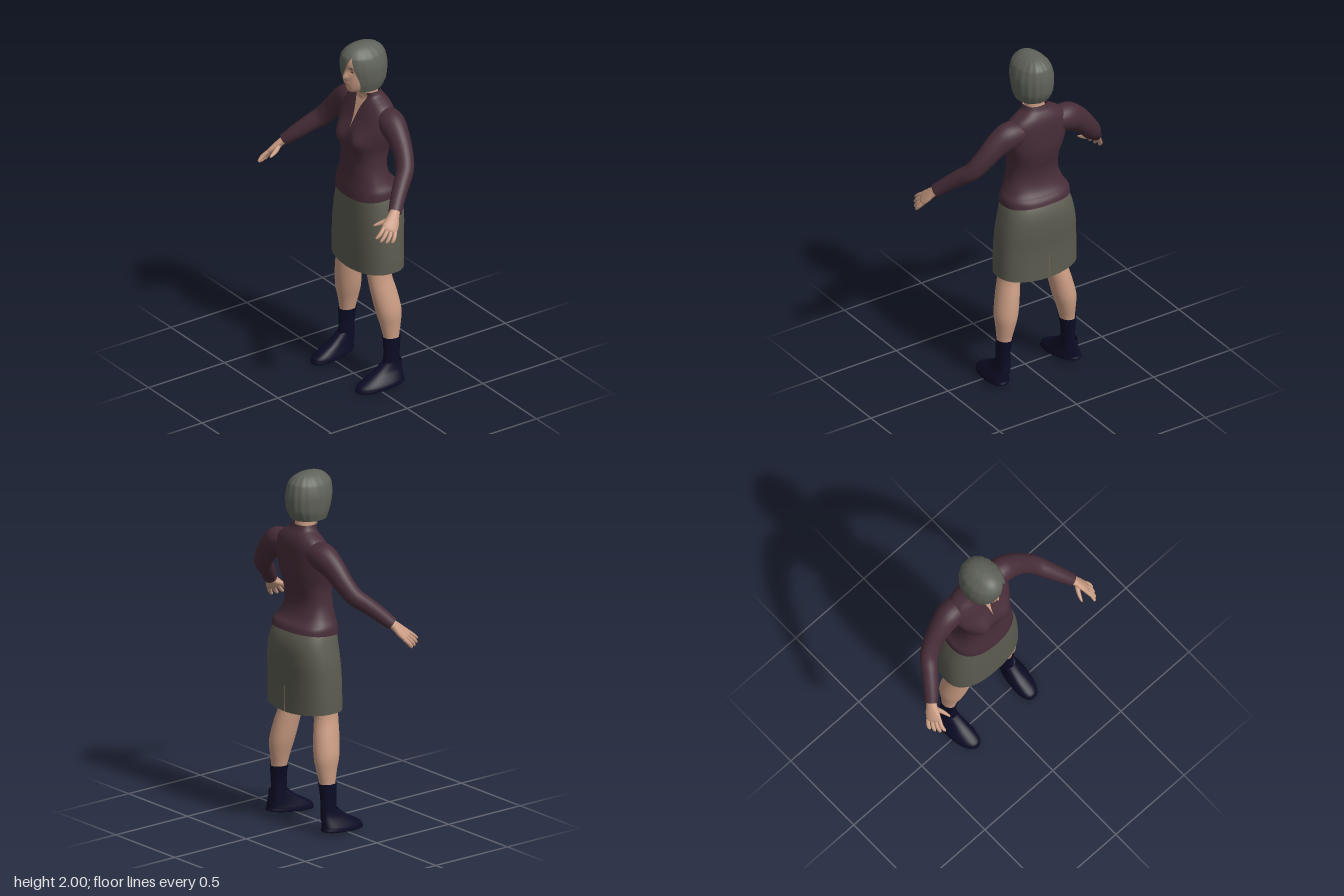
import * as THREE from 'three';
import { mergeVertices } from 'three/addons/utils/BufferGeometryUtils.js';

const mat = (name, color, side = THREE.FrontSide) => {
  const m = new THREE.MeshStandardMaterial({ color, side });
  m.name = name;
  return m;
};

// Smooth Catmull-Rom blend through a table of rows
function sample(rows, v) {
  const f = Math.min(Math.max(v, 0), 1) * (rows.length - 1);
  const i = Math.min(Math.floor(f), rows.length - 2), t = f - i;
  const at = k => rows[Math.min(Math.max(k, 0), rows.length - 1)];
  const [a, b, c, d] = [at(i - 1), at(i), at(i + 1), at(i + 2)];
  return b.map((_, k) => b[k] + 0.5 * t * (c[k] - a[k]
    + t * (2 * a[k] - 5 * b[k] + 4 * c[k] - d[k] + t * (3 * (b[k] - c[k]) + d[k] - a[k]))));
}

// Smooth surface from a rule fn(u, v) -> [x, y, z]
function patch(fn, nu, nv) {
  const pos = [], idx = [], w = nu + 1;
  for (let j = 0; j <= nv; j++) for (let i = 0; i <= nu; i++) pos.push(...fn(i / nu, j / nv));
  for (let j = 0; j < nv; j++) for (let i = 0; i < nu; i++) {
    const a = j * w + i;
    idx.push(a, a + 1, a + w + 1, a, a + w + 1, a + w);
  }
  let g = new THREE.BufferGeometry();
  g.setAttribute('position', new THREE.Float32BufferAttribute(pos, 3));
  g.setIndex(idx);
  g = mergeVertices(g, 1e-5);
  g.computeVertexNormals();
  return g;
}

// Point on a level rounded ring; angle 0 faces the front
function ring(t, [y, cx, hw, zf, zb], p = 2) {
  const pw = s => Math.sign(s) * Math.abs(s) ** (2 / p);
  return [cx + hw * pw(Math.sin(t)), y, (zf + zb) / 2 + (zf - zb) / 2 * pw(Math.cos(t))];
}
const TAU = Math.PI * 2;
const column = (rows, nu, nv, p = 2, tweak = q => q) =>
  patch((u, v) => tweak(ring(u * TAU, sample(rows, v), p)), nu, nv);

// Tube of rows [x, y, z, a, b]; a is the radius along ref
function tube(rows, ref, nu = 10, nv = 8) {
  const r = new THREE.Vector3(...ref);
  return patch((u, v) => {
    const [x, y, z, a, b] = sample(rows, v);
    const p = sample(rows, v - 0.01), q = sample(rows, v + 0.01);
    const T = new THREE.Vector3(q[0] - p[0], q[1] - p[1], q[2] - p[2]).normalize();
    const N = r.clone().addScaledVector(T, -r.dot(T)).normalize();
    const B = T.clone().cross(N);
    const c = a * Math.cos(u * TAU), s = b * Math.sin(u * TAU);
    return [x + N.x * c + B.x * s, y + N.y * c + B.y * s, z + N.z * c + B.z * s];
  }, nu, nv);
}
const bell = (d, w) => Math.exp(-((d / w) ** 2));

export function createModel() {
  const model = new THREE.Group();
  const skin = mat('skin', 0xc99b82, THREE.DoubleSide);
  const blouse = mat('plum blouse', 0x472d38, THREE.DoubleSide);
  const cloth = mat('grey skirt', 0x5b5b50, THREE.DoubleSide);
  const hairMat = mat('grey hair', 0x5f6259, THREE.DoubleSide);
  const navy = mat('navy footwear', 0x0c0c26, THREE.DoubleSide);
  const lipMat = mat('lips', 0x9c6a5c);
  const dark = mat('eyes', 0x3a2c28);
  const add = (parent, name, geo, m) => {
    const mesh = new THREE.Mesh(geo, m);
    mesh.name = name;
    parent.add(mesh);
    return mesh;
  };

  // Blouse body: y, cx, half width, front z, back z, neckline half opening
  const torso = [
    [1.10, 0, .2, .055, -.238, 0], [1.15, 0, .196, .05, -.225, 0], [1.2, 0, .172, .042, -.187, 0],
    [1.26, 0, .152, .037, -.168, 0], [1.32, 0, .146, .034, -.17, 0], [1.38, 0, .15, .038, -.185, 0],
    [1.44, 0, .168, .038, -.197, 0], [1.5, 0, .185, .026, -.2, 0], [1.56, 0, .193, .0, -.2, .007],
    [1.61, 0, .178, -.02, -.198, .018], [1.645, 0, .148, -.035, -.19, .03],
    [1.67, 0, .11, -.045, -.178, .042], [1.69, 0, .08, -.045, -.165, .05], [1.715, 0, .07, -.03, -.155, .055]];
  const torsoPoint = (u, v, chest) => {
    const r = sample(torso, v);
    const open = Math.asin(Math.min(1, (Math.max(0, r[5]) / r[2]) ** 1.2));
    const t = chest ? open * (2 * u - 1) : open + u * (TAU - 2 * open);
    const q = ring(t, r, 2.4);
    if (Math.cos(t) > 0) q[2] += .03 * bell(q[1] - 1.445, .06) * bell(Math.abs(q[0]) - .08, .055);
    q[1] += .015 * (1 - Math.cos(t)) * Math.max(0, 1 - v * 8); // hem rises to the back
    return q;
  };
  add(model, 'blouseBody', patch((u, v) => torsoPoint(u, v, false), 56, 56), blouse);
  add(model, 'chestSkin', patch((u, v) => torsoPoint(u, .54 + .46 * v, true), 8, 24), skin);

  // Skirt with a slit at the back
  const skirt = [[.668, 0, .243, .05, -.235], [.76, 0, .243, .05, -.235], [.86, 0, .239, .05, -.238],
    [.96, 0, .23, .048, -.246], [1.05, 0, .212, .045, -.245], [1.12, 0, .192, .042, -.222], [1.2, 0, .155, .03, -.17]];
  add(model, 'skirt', patch((u, v) => {
    const r = sample(skirt, v), slit = Math.max(0, .87 - r[0]) * .012;
    const t = -Math.PI + slit + u * (TAU - 2 * slit);
    const q = ring(t, r, 2.5);
    q[1] += .018 * Math.abs(Math.sin(t)) * Math.max(0, 1 - v * 5);
    return q;
  }, 56, 30), cloth);

  // Neck and head, with brow, nose and chin shaped into the face
  const neck = [[1.6, 0, .06, -.05, -.16], [1.68, 0, .056, -.04, -.15], [1.76, 0, .054, -.025, -.14]];
  add(model, 'neck', column(neck, 24, 6), skin);
  const head = [[1.722, 0, .001, 0, -.002], [1.727, 0, .03, .03, -.06], [1.75, 0, .05, .042, -.1],
    [1.79, 0, .066, .047, -.13], [1.84, 0, .077, .048, -.16], [1.9, 0, .084, .05, -.17],
    [1.95, 0, .068, .03, -.15], [1.975, 0, .035, 0, -.11], [1.982, 0, .001, -.05, -.052]];
  add(model, 'head', column(head, 72, 44, 2.2, q => {
    if (q[2] > -.02) {
      const x = Math.abs(q[0]);
      q[2] += .026 * bell(x, .013) * bell(q[1] - 1.818, q[1] > 1.818 ? .03 : .012)
        - .009 * bell(x - .034, .018) * bell(q[1] - 1.86, .015) + .006 * bell(x, .018) * bell(q[1] - 1.783, .014);
    }
    return q;
  }), skin);
  const dab = (name, x, y, z, sx, sy, sz, m) => {
    const d = add(model, name, new THREE.SphereGeometry(1, 12, 8), m);
    d.position.set(x, y, z);
    d.scale.set(sx, sy, sz);
  };
  dab('mouth', 0, 1.783, .05, .024, .006, .005, lipMat);
  for (const s of [1, -1]) {
    dab('eye', s * .035, 1.858, .035, .013, .004, .004, dark);
    dab('eyebrow', s * .036, 1.882, .043, .017, .0025, .004, dark);
  }

  // Bobbed hair: last two values are the edges of the swept face opening
  const hair = [[1.74, 0, .092, .035, -.165, -.052, .066], [1.785, 0, .106, .05, -.188, -.037, .079],
    [1.83, 0, .111, .062, -.196, -.012, .078], [1.88, 0, .111, .07, -.197, .016, .068],
    [1.93, 0, .099, .068, -.188, .036, .053], [1.952, 0, .087, .06, -.178, .044, .045],
    [1.978, 0, .062, .035, -.15, .03, .03], [1.994, 0, .034, 0, -.11, .012, .012], [2, 0, .001, -.05, -.052, 0, 0]];
  add(model, 'hair', patch((u, v) => {
    const r = sample(hair, v);
    const angle = x => Math.asin(Math.max(-1, Math.min(1, x / r[2])));
    const a = angle(Math.max(r[5], r[6])), b = angle(r[5]) + TAU;
    const t = a + u * (b - a), wave = 1 + .01 * Math.sin(17 * t);
    r[2] *= wave;
    r[4] *= wave;
    return ring(t, r, 2.1);
  }, 90, 40), hairMat);

  // Limbs, built for the left and mirrored for the right
  const sleeve = [[.12, 1.58, -.12, .068, .062], [.19, 1.565, -.117, .073, .08], [.26, 1.523, -.108, .062, .07],
    [.33, 1.452, -.094, .053, .059], [.385, 1.385, -.066, .049, .053], [.43, 1.335, -.012, .045, .047],
    [.475, 1.28, .045, .041, .041], [.518, 1.23, .093, .037, .033]];
  const across = [.05, -.04, -.075];
  const palm = [[.505, 1.247, .075, .026, .022], [.525, 1.218, .105, .031, .021], [.545, 1.183, .135, .042, .019],
    [.56, 1.157, .162, .041, .014], [.565, 1.148, .17, .001, .001]];
  const thumb = [[.53, 1.205, .115, .015, .014], [.508, 1.188, .15, .015, .013], [.494, 1.178, .18, .011, .01],
    [.485, 1.17, .207, .006, .005], [.484, 1.169, .209, .001, .001]];
  const leg = [[.25, .207, .036, -.062, -.145], [.3, .203, .042, -.055, -.15], [.36, .197, .051, -.042, -.162],
    [.44, .188, .064, -.022, -.17], [.55, .167, .063, -.004, -.155], [.65, .146, .06, .005, -.135],
    [.76, .13, .068, .012, -.15], [.95, .105, .08, .01, -.17]];
  const sock = [[.08, .21, .036, -.055, -.148], [.15, .21, .035, -.052, -.148], [.22, .21, .037, -.054, -.15],
    [.29, .205, .046, -.05, -.157]];
  const shoe = [[0, .22, .001, -.01, -.012], [.001, .222, .058, .118, -.15], [.022, .222, .063, .124, -.155],
    [.04, .22, .058, .112, -.155], [.062, .216, .05, .07, -.155], [.085, .212, .043, .02, -.154],
    [.11, .21, .039, -.02, -.152], [.13, .21, .037, -.045, -.15]];
  for (const [side, s] of [['left', 1], ['right', -1]]) {
    const limbs = new THREE.Group();
    limbs.name = side + 'Limbs';
    limbs.scale.x = s;
    model.add(limbs);
    add(limbs, 'sleeve', tube(sleeve, [0, 0, 1], 24, 32), blouse);
    add(limbs, 'palm', tube(palm, across, 16, 12), skin);
    add(limbs, 'thumb', tube(thumb, [0, 1, 0], 10, 10), skin);
    for (let i = 0; i < 4; i++) { // fingers fan from index to little
      const k = i - 1.5, f = i / 3, len = [.96, 1.06, 1, .85][i];
      const a = [.557 + k * .0115, 1.16 - k * .009, .157 - k * .0165];
      const tip = [.552 + f * .05, 1.122 - f * .034, .245 - f * .07];
      const at = (w, r) => [...a.map((c, n) => c + (tip[n] - c) * w * len), r, r];
      const row = [at(0, .012), at(.5, .0115), at(.9, .0085), at(1, .001)];
      row[1][0] += .006;
      add(limbs, 'finger', tube(row, across, 8, 8), skin);
    }
    add(limbs, 'leg', column(leg, 28, 28), skin);
    add(limbs, 'sock', column(sock, 24, 8), navy);
    add(limbs, 'shoe', column(shoe, 36, 24, 2.3, ([x, y, z]) =>
      [x - .1 * (z + .02), y + .09 * Math.max(0, .1 - z), z]), navy);
  }
  return model;
}
